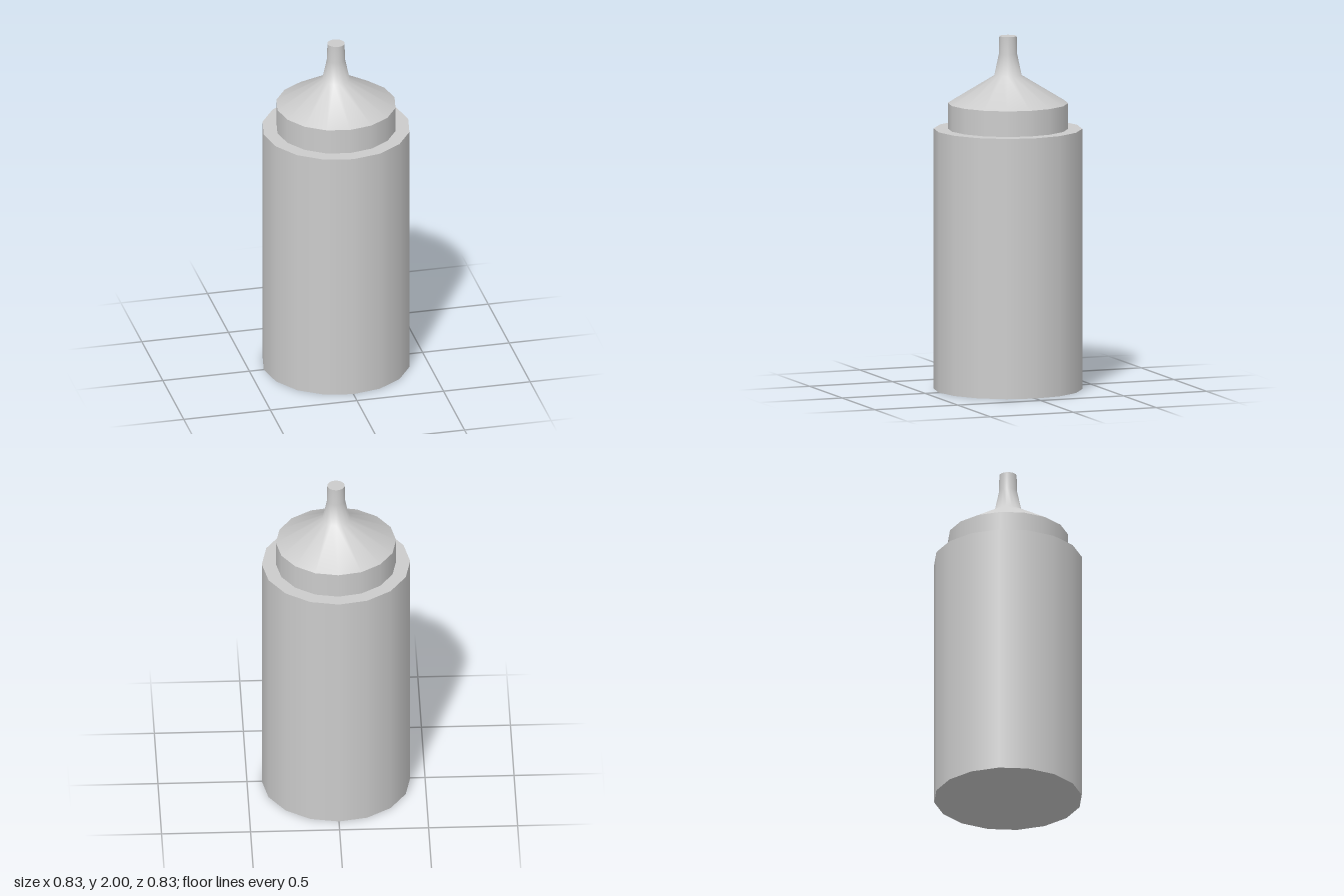
import * as THREE from 'three';

const SIDES = 16;

export function createModel() {
  const model = new THREE.Group();
  model.name = 'squeezeBottle';
  const material = new THREE.MeshStandardMaterial({ color: 0xcccccc });

  function add(name, geometry, y = 0) {
    const mesh = new THREE.Mesh(geometry, material);
    mesh.name = name;
    mesh.position.y = y;
    model.add(mesh);
    return mesh;
  }

  // Straight bottle body, closed at the base and shoulder
  const bodyHeight = 1.475;
  add('body', new THREE.CylinderGeometry(0.417, 0.417, bodyHeight, SIDES), bodyHeight / 2);

  // Cap collar standing on the shoulder
  const collarTop = 1.62;
  add('capCollar',
    new THREE.CylinderGeometry(0.338, 0.338, collarTop - bodyHeight, SIDES, 1, true),
    (bodyHeight + collarTop) / 2);

  // Conical cap flowing smoothly into the nozzle
  const profile = [[0.338, collarTop], [0.077, 1.778], [0.051, 1.9], [0.049, 2]]
    .map(([r, y]) => new THREE.Vector2(r, y));
  add('capNozzle', new THREE.LatheGeometry(profile, SIDES));

  // Flat nozzle tip
  add('nozzleTip', new THREE.CircleGeometry(0.049, SIDES).rotateX(-Math.PI / 2), 2);

  return model;
}
